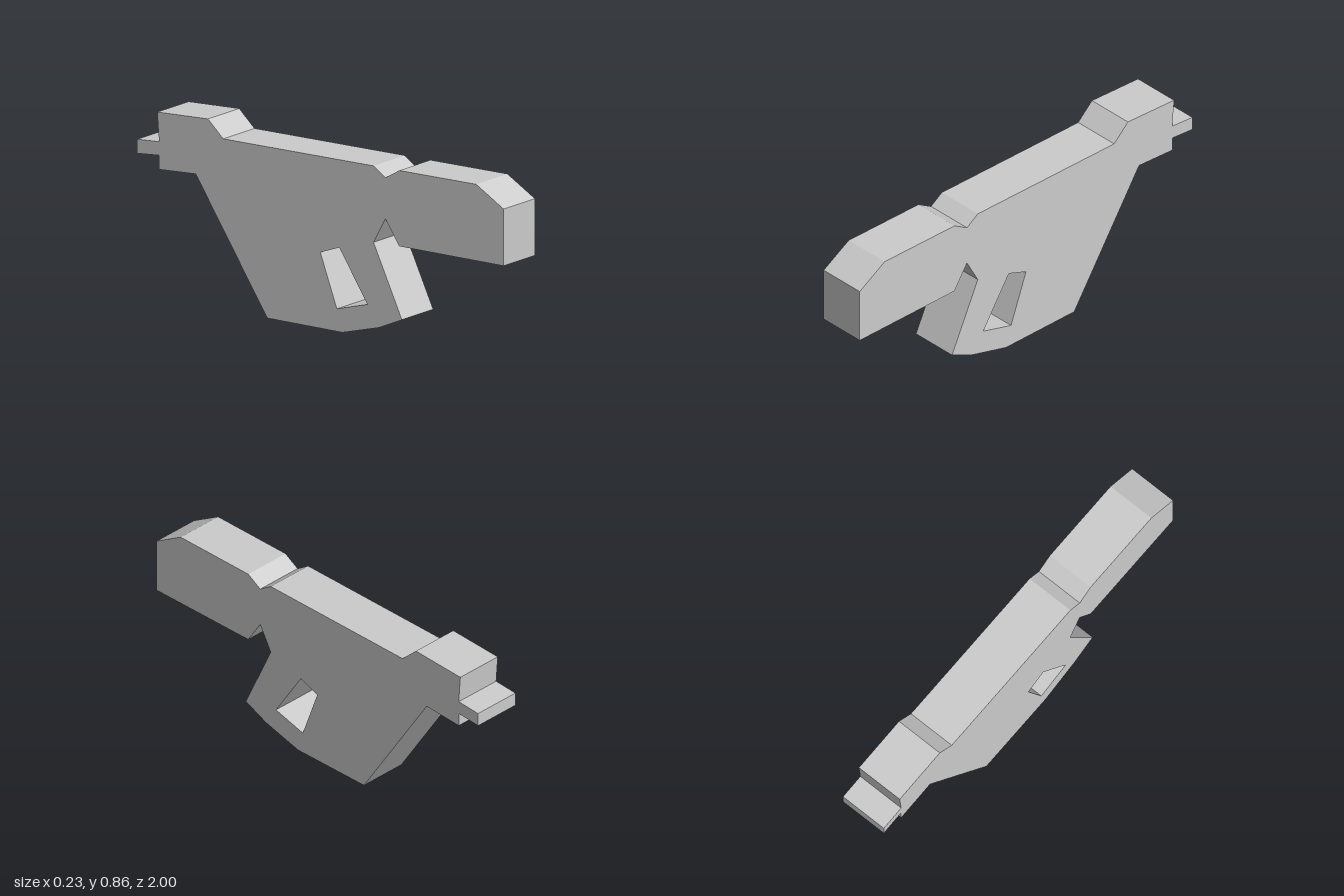
import * as THREE from 'three';

const WIDTH = 0.233;

// Side outline as [z, y] points, starting at the top of the front face
const OUTLINE = [
  [1, 0.692], [0.85, 0.782], [0.43, 0.782], [0.355, 0.738], [0.29, 0.782],           // barrel and top notch
  [-0.53, 0.782], [-0.613, 0.86], [-0.89, 0.85], [-0.88, 0.717],                      // raised rear block
  [-1, 0.71], [-1, 0.646], [-0.88, 0.655], [-0.88, 0.591], [-0.68, 0.6],              // rear tab
  [-0.29, 0.004], [0.12, 0], [0.32, 0.052], [0.445, 0.106],                          // grip and base
  [0.29, 0.435], [0.355, 0.552], [0.43, 0.438], [1, 0.434],                          // lower notch
];

// Slanted opening through the grip
const OPENING = [[0.103, 0.383], [0, 0.346], [0.09, 0.103], [0.257, 0.148]];

const toPoints = (list) => list.map(([z, y]) => new THREE.Vector2(z, y));

export function createModel() {
  const model = new THREE.Group();
  const grey = new THREE.MeshStandardMaterial({ color: 0xcccccc });
  grey.name = 'light grey';

  const profile = new THREE.Shape(toPoints(OUTLINE));
  profile.holes.push(new THREE.Path(toPoints(OPENING)));

  // Extrude across the width, then turn the profile to run along z
  const geometry = new THREE.ExtrudeGeometry(profile, { depth: WIDTH, bevelEnabled: false });
  geometry.translate(0, 0, -WIDTH / 2);
  geometry.rotateY(-Math.PI / 2);

  const body = new THREE.Mesh(geometry, grey);
  body.name = 'body';
  model.add(body);
  return model;
}
